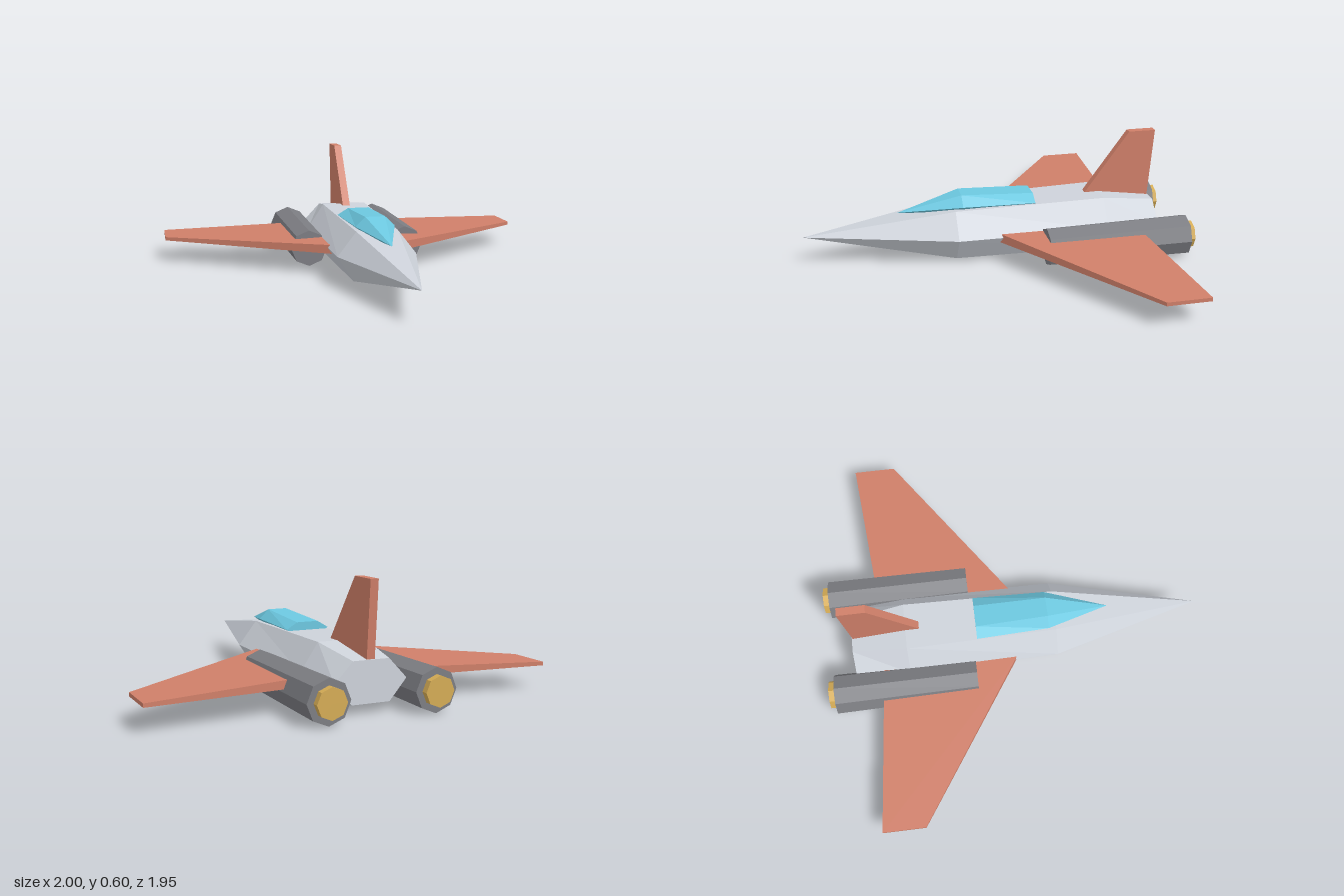
import * as THREE from 'three';

const material = (color) => new THREE.MeshStandardMaterial({ color, flatShading: true });

// Closed faceted hull through matching rings; rings run anticlockwise seen from the first ring's side.
function loft(rings) {
  const pos = [];
  const tri = (a, b, c) => {
    const [A, B, C] = [a, b, c].map((p) => new THREE.Vector3(...p));
    if (B.clone().sub(A).cross(C.clone().sub(A)).length() > 1e-9) pos.push(...a, ...b, ...c);
  };
  const n = rings[0].length;
  for (let k = 0; k < rings.length - 1; k++) {
    const a = rings[k], b = rings[k + 1];
    for (let i = 0; i < n; i++) {
      const j = (i + 1) % n;
      tri(a[i], b[i], a[j]);
      tri(a[j], b[i], b[j]);
    }
  }
  const first = rings[0], last = rings[rings.length - 1];
  for (let i = 1; i < n - 1; i++) {
    tri(first[0], first[i], first[i + 1]);
    tri(last[0], last[i + 1], last[i]);
  }
  const geo = new THREE.BufferGeometry();
  geo.setAttribute('position', new THREE.Float32BufferAttribute(pos, 3));
  geo.computeVertexNormals();
  return geo;
}

// Six-sided cross-section: waist, top and bottom half-widths with their heights
const hexRing = ([z, waist, top, bottom, yTop, yMid, yBottom]) => [
  [waist, yMid, z], [top, yTop, z], [-top, yTop, z],
  [-waist, yMid, z], [-bottom, yBottom, z], [bottom, yBottom, z],
];

export function createModel() {
  const group = new THREE.Group();
  const hullMat = material(0xcdd2da);
  const wingMat = material(0xcf7f69);
  const glassMat = material(0x6cc8e0);
  const engineMat = material(0x7c7d82);
  const nozzleMat = material(0xd4ab55);

  const add = (name, geo, mat, x = 0, y = 0, z = 0) => {
    const mesh = new THREE.Mesh(geo, mat);
    mesh.name = name;
    mesh.position.set(x, y, z);
    group.add(mesh);
  };

  // Fuselage, pointed nose to blunt tail
  add('fuselage', loft([
    [0.975, 0, 0, 0, 0.16, 0.16, 0.16],
    [0.22, 0.2, 0.105, 0.12, 0.272, 0.15, 0.024],
    [-0.55, 0.21, 0.12, 0.125, 0.286, 0.15, 0.014],
    [-0.83, 0.18, 0.09, 0.095, 0.245, 0.15, 0.05],
  ].map(hexRing)), hullMat);

  // Canopy
  add('canopy', loft([
    [0.5, 0, 0, 0, 0.25, 0.25, 0.25],
    [0.18, 0.1, 0.05, 0.05, 0.336, 0.288, 0.243],
    [-0.19, 0.112, 0.056, 0.056, 0.32, 0.286, 0.25],
  ].map(hexRing)), glassMat);

  // Tail fin
  const finRing = (y, front, back) => [
    [0.02, y, front], [0.02, y, back], [-0.02, y, back], [-0.02, y, front],
  ];
  add('tailFin', loft([finRing(0.6, -0.71, -0.85), finRing(0.23, -0.44, -0.824)]), wingMat);

  // Wings, engines and nozzles on both sides
  const wingRing = (x, front, back, yTop) => [
    [x, 0.12, back], [x, yTop, back], [x, yTop, front], [x, 0.12, front],
  ];
  for (const [side, s] of [['left', 1], ['right', -1]]) {
    const rings = [wingRing(s, -0.545, -0.76, 0.138), wingRing(s * 0.18, 0.012, -0.685, 0.166)];
    add(side + 'Wing', loft(s > 0 ? rings : rings.reverse()), wingMat);

    const engine = new THREE.CylinderGeometry(0.096, 0.104, 0.735, 8).rotateX(Math.PI / 2);
    add(side + 'Engine', engine, engineMat, s * 0.263, 0.108, -0.5775);

    const nozzle = new THREE.CylinderGeometry(0.072, 0.072, 0.06, 8).rotateX(Math.PI / 2);
    add(side + 'Nozzle', nozzle, nozzleMat, s * 0.263, 0.108, -0.947);
  }
  group.position.y = -0.004;
  return group;
}
